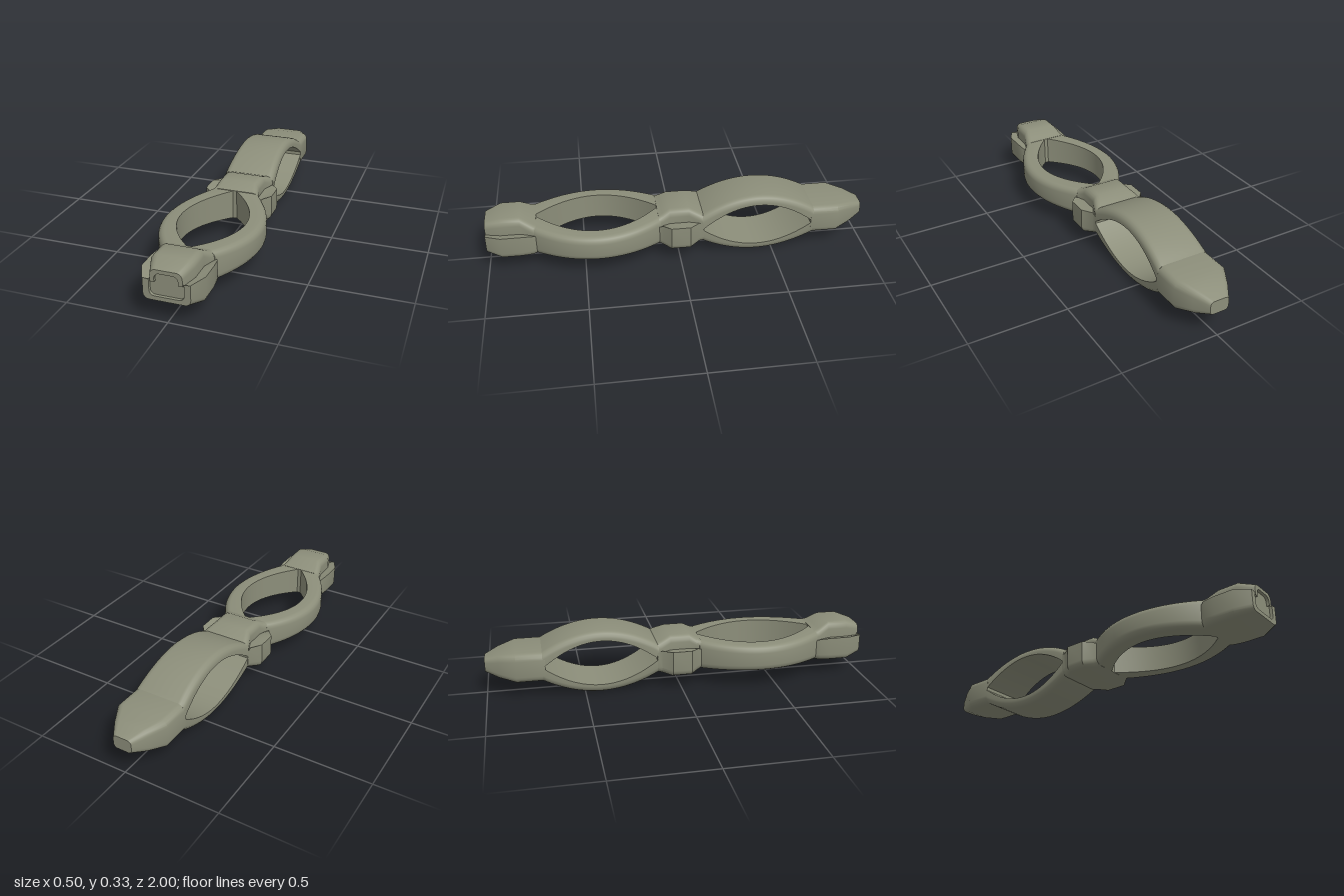
import * as THREE from 'three';
import { toCreasedNormals } from 'three/addons/utils/BufferGeometryUtils.js';

const MID = 0.166; // height of the long axis

// Skin through equal-sized counter-clockwise loops listed in rising z, with end caps.
function loft(sections, crease = 0.6) {
  const pos = [], idx = [], n = sections[0].pts.length;
  for (const { z, pts } of sections) for (const [x, y] of pts) pos.push(x, y, z);
  for (let k = 0; k < sections.length - 1; k++) {
    for (let j = 0; j < n; j++) {
      const a = k * n + j, b = k * n + (j + 1) % n;
      idx.push(a, b, b + n, a, b + n, a + n);
    }
  }
  for (const k of [0, sections.length - 1]) {
    const { z, pts } = sections[k], c = pos.length / 3;
    const ys = pts.map((p) => p[1]), xs = pts.map((p) => p[0]);
    pos.push((Math.min(...xs) + Math.max(...xs)) / 2, (Math.min(...ys) + Math.max(...ys)) / 2, z);
    for (let j = 0; j < n; j++) {
      const a = k * n + j, b = k * n + (j + 1) % n;
      idx.push(c, k ? a : b, k ? b : a);
    }
  }
  const geo = new THREE.BufferGeometry();
  geo.setAttribute('position', new THREE.Float32BufferAttribute(pos, 3));
  geo.setIndex(idx);
  return toCreasedNormals(geo, crease);
}

// Quarter-round corner points around (cx, cy), starting at angle a0.
function corner(cx, cy, r, a0, steps = 4) {
  const out = [];
  for (let i = 0; i <= steps; i++) {
    const a = a0 + (i / steps) * Math.PI / 2;
    out.push([cx + r * Math.cos(a), cy + r * Math.sin(a)]);
  }
  return out;
}

const mirrored = (half) => [...half, ...half.map(([x, y]) => [-x, y]).reverse()];

// Stepped section: wide lower fins (w), narrower rounded crown (u).
function stepped([z, w, bottom, shoulder, u, top, r = 0.035]) {
  return {
    z,
    pts: mirrored([
      ...corner(w - r, bottom + r, r, -Math.PI / 2),
      [w, shoulder + 0.012], [u, shoulder],
      ...corner(u - r, top - r, r, 0),
    ]),
  };
}

// Plain rounded rectangle section.
function rounded([z, w, bottom, top, r]) {
  return {
    z,
    pts: mirrored([
      ...corner(w - r, bottom + r, r, -Math.PI / 2),
      ...corner(w - r, top - r, r, 0),
    ]),
  };
}

// One bowed arm of an almond loop: flat inner wall, rounded outer edges.
function arm({ z, half, hole, endOut, midOut, endH, midH, r }) {
  const sections = [], N = 32;
  for (let i = 0; i <= N; i++) {
    const t = -1 + 2 * i / N, bow = 1 - t * t;
    const inner = hole * bow;
    const outer = endOut + (midOut - endOut) * bow;
    const h = midH + (endH - midH) * t * t;
    sections.push({
      z: z + half * t,
      pts: [
        [inner, -h],
        ...corner(outer - r, -h + r, r, -Math.PI / 2),
        ...corner(outer - r, h - r, r, 0),
        [inner, h],
      ],
    });
  }
  return loft(sections);
}

export function createModel() {
  const model = new THREE.Group();
  model.name = 'doubleLoopLink';
  const olive = new THREE.MeshStandardMaterial({ color: 0x8c8e7a });
  olive.name = 'oliveGrey';

  const add = (name, geo, angle = 0, y = 0) => {
    const mesh = new THREE.Mesh(geo, olive);
    mesh.name = name;
    mesh.rotation.z = angle;
    mesh.position.y = y;
    model.add(mesh);
  };

  // Front loop opens vertically, rear loop opens sideways
  const frontArm = arm({ z: 0.425, half: 0.325, hole: 0.167, endOut: 0.13, midOut: 0.25, endH: 0.078, midH: 0.068, r: 0.035 });
  const rearArm = arm({ z: -0.415, half: 0.297, hole: 0.12, endOut: 0.078, midOut: 0.166, endH: 0.14, midH: 0.129, r: 0.035 });
  add('frontLoopLeft', frontArm, 0, MID);
  add('frontLoopRight', frontArm, Math.PI, MID);
  add('rearLoopTop', rearArm, Math.PI / 2, MID);
  add('rearLoopBottom', rearArm, -Math.PI / 2, MID);

  // Central hub with side fins
  add('hub', loft([
    [-0.125, 0.14, 0.088, 0.19, 0.138, 0.246],
    [-0.1, 0.142, 0.083, 0.2, 0.132, 0.256],
    [-0.05, 0.182, 0.076, 0.203, 0.112, 0.276],
    [0.05, 0.182, 0.076, 0.203, 0.112, 0.276],
    [0.09, 0.145, 0.083, 0.2, 0.122, 0.254],
    [0.11, 0.135, 0.088, 0.19, 0.133, 0.246],
  ].map(stepped)));

  // Front tip with fins and a shallow recess in its end face
  add('frontTip', loft([
    [0.74, 0.133, 0.088, 0.19, 0.13, 0.245],
    [0.765, 0.147, 0.087, 0.2, 0.12, 0.254],
    [0.82, 0.152, 0.085, 0.203, 0.104, 0.286],
    [0.92, 0.152, 0.085, 0.203, 0.104, 0.286],
    [1, 0.112, 0.104, 0.196, 0.076, 0.257, 0.028],
    [1, 0.082, 0.125, 0.194, 0.056, 0.238, 0.024],
    [0.985, 0.082, 0.125, 0.194, 0.056, 0.238, 0.024],
  ].map(stepped)));

  // Rear tapered tip
  add('rearTip', loft([
    [-1, 0.05, 0.13, 0.2, 0.02],
    [-0.93, 0.095, 0.105, 0.226, 0.03],
    [-0.845, 0.14, 0.088, 0.244, 0.036],
    [-0.7, 0.14, 0.088, 0.244, 0.036],
  ].map(rounded)));

  return model;
}
